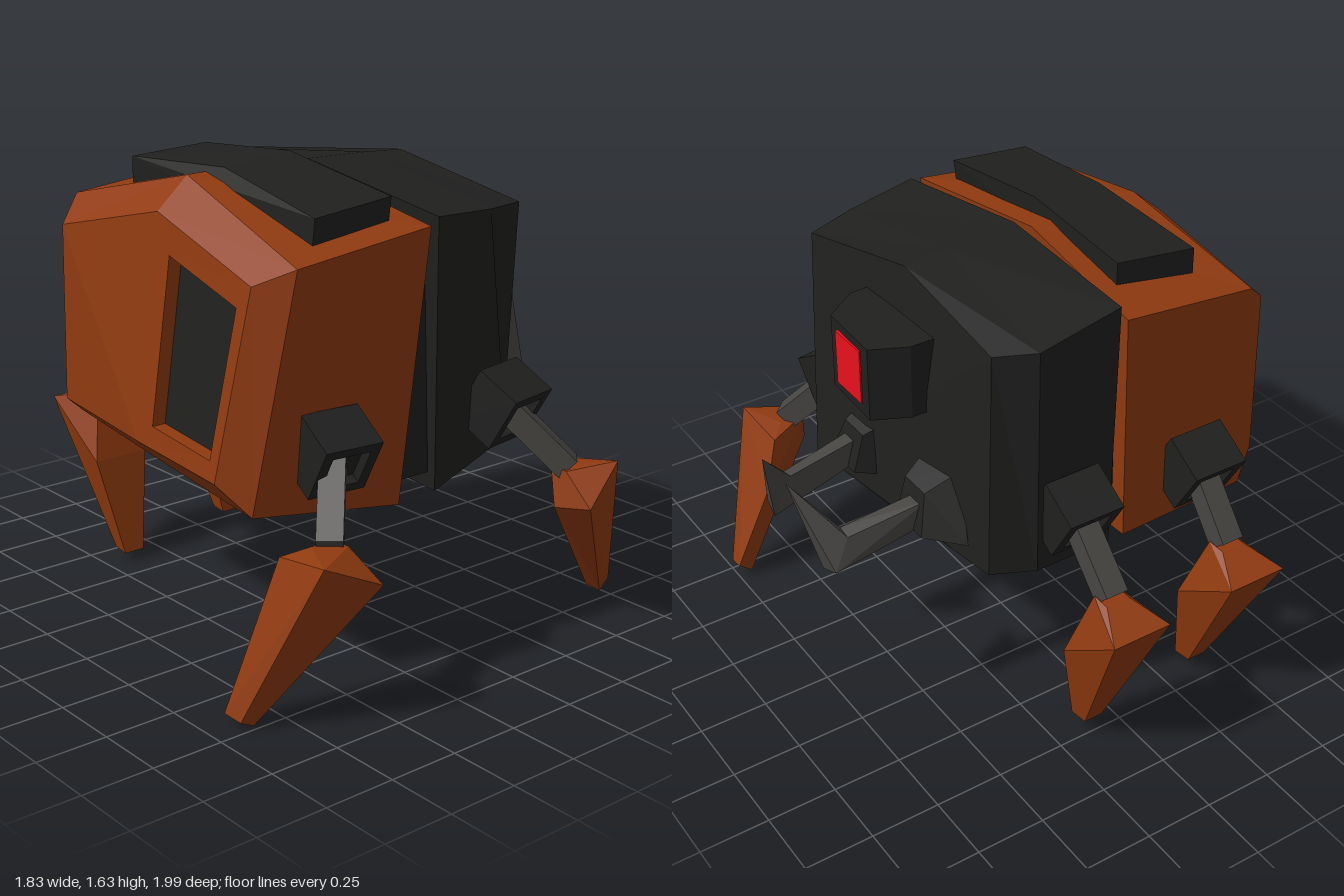
import * as THREE from 'three';
import { ConvexGeometry } from 'three/addons/geometries/ConvexGeometry.js';

const mat = (color) => new THREE.MeshStandardMaterial({ color, flatShading: true });
const V = (p) => new THREE.Vector3(...p);

export function createModel() {
  const model = new THREE.Group();
  const orange = mat(0x8f3a10), black = mat(0x20201f), grey = mat(0x484643), red = mat(0xe8101c);

  const add = (name, geometry, material, parent = model) => {
    const mesh = new THREE.Mesh(geometry, material);
    mesh.name = name;
    parent.add(mesh);
    return mesh;
  };
  const hull = (name, points, material, parent) =>
    add(name, new ConvexGeometry(points.map(V)), material, parent);

  // Skin between equal rings of corners; caps: fan-filled first and last rings
  const loft = (rings, capStart, capEnd) => {
    const pos = [], tri = (...t) => t.forEach((p) => pos.push(...p));
    for (let k = 0; k < rings.length - 1; k++) {
      const a = rings[k], b = rings[k + 1], n = a.length;
      for (let i = 0; i < n; i++) {
        const j = (i + 1) % n;
        tri(a[i], a[j], b[j], a[i], b[j], b[i]);
      }
    }
    const first = rings[0], last = rings[rings.length - 1];
    for (let i = 1; i < first.length - 1; i++) {
      if (capStart) tri(first[0], first[i + 1], first[i]);
      if (capEnd) tri(last[0], last[i], last[i + 1]);
    }
    const g = new THREE.BufferGeometry();
    g.setAttribute('position', new THREE.Float32BufferAttribute(pos, 3));
    g.computeVertexNormals();
    return g;
  };

  // Square bar between two points
  const bar = (name, from, to, w, material, parent) => {
    const a = V(from), b = V(to);
    const m = add(name, new THREE.BoxGeometry(w, w, a.distanceTo(b)), material, parent);
    m.position.copy(a).lerp(b, 0.5);
    m.lookAt(b);
    return m;
  };

  // Rear shell: corners run lower +z, lower middle, lower -z, upper -z, ridge, upper +z
  const rear = [[-0.82, 0.72, 0.49], [-0.77, 0.72, 0], [-0.73, 0.74, -0.5],
    [-0.72, 1.36, -0.5], [-0.67, 1.48, 0], [-0.73, 1.35, 0.57]];
  const middle = [[-0.75, 0.62, 0.59], [-0.69, 0.64, 0], [-0.63, 0.66, -0.56],
    [-0.62, 1.45, -0.56], [-0.55, 1.585, 0], [-0.64, 1.41, 0.68]];
  const front = [[-0.16, 0.53, 0.61], [-0.14, 0.59, 0], [-0.12, 0.65, -0.57],
    [-0.11, 1.5, -0.56], [-0.11, 1.59, -0.02], [-0.11, 1.47, 0.69]];
  add('rearShell', loft([rear, middle, front], false, true), orange);
  add('rearWall', loft([[rear[1], rear[2], rear[3], rear[4]]], true), orange);

  // Recessed window in the rear wall
  const outer = [rear[0], rear[1], rear[4], rear[5]];
  const mix = (u, v) => V(outer[1]).lerp(V(outer[0]), u)
    .lerp(V(outer[2]).lerp(V(outer[3]), u), v).toArray();
  const inner = [mix(0.9, 0.1), mix(0.17, 0.1), mix(0.17, 0.86), mix(0.9, 0.86)];
  const deep = inner.map(([x, y, z]) => [x + 0.05, y, z]);
  add('windowFrame', loft([deep, inner, outer]), orange);
  add('windowPanel', loft([deep], true), black);

  // Bent plate on the back
  hull('backPlate', [
    [-0.51, 1.44, 0.59], [-0.2, 1.48, 0.59], [-0.5, 1.53, 0.59], [-0.19, 1.56, 0.59],
    [-0.46, 1.61, 0.08], [-0.19, 1.635, 0.08],
    [-0.48, 1.58, -0.42], [-0.19, 1.6, -0.39], [-0.48, 1.47, -0.42], [-0.19, 1.5, -0.39],
  ], black);

  // Neck between shell and head
  hull('neck', [-0.16, 0.03].flatMap((x) => [
    [x, 0.6, 0.58], [x, 0.68, -0.5], [x, 1.44, -0.5], [x, 1.52, 0], [x, 1.42, 0.6]]), black);

  // Head
  add('head', loft([
    [[0, 0.54, 0.61], [-0.03, 0.6, 0], [-0.05, 0.66, -0.58],
      [-0.09, 1.55, -0.55], [-0.08, 1.59, 0.04], [-0.06, 1.49, 0.67]],
    [[0.38, 0.635, 0.56], [0.27, 0.64, 0], [0.24, 0.66, -0.58],
      [0.24, 1.51, -0.58], [0.2, 1.58, 0.03], [0.22, 1.47, 0.62]],
    [[0.52, 0.67, 0.41], [0.46, 0.66, 0], [0.4, 0.68, -0.53],
      [0.36, 1.49, -0.49], [0.36, 1.57, 0.02], [0.41, 1.46, 0.56]],
  ], true, true), black);

  // Eye in its housing
  hull('eyeHousing', [1.14, 1.41].flatMap((y) => [
    [0.36, y, 0.21], [0.46, y, 0.21], [0.585, y, 0.12],
    [0.595, y, -0.13], [0.47, y, -0.19], [0.36, y, -0.19]]), black);
  const eye = add('eye', new THREE.BoxGeometry(0.03, 0.2, 0.155), red);
  eye.position.set(0.583, 1.28, -0.005);

  // Pair of tusks, mirrored about the head's middle plane
  for (const [side, flip] of [['left', false], ['right', true]]) {
    const f = (pts) => pts.map(([x, y, z]) => [x, y, flip ? -0.08 - z : z]);
    const tusk = new THREE.Group();
    tusk.name = side + 'Tusk';
    model.add(tusk);
    hull('tuskMount', f([
      [0.38, 0.97, 0.25], [0.38, 0.97, 0.06], [0.42, 0.75, 0.36], [0.42, 0.75, 0.04],
      [0.5, 0.91, 0.22], [0.5, 0.91, 0.1], [0.54, 0.77, 0.26], [0.54, 0.77, 0.1]]), black, tusk);
    const elbow = [[0.77, 0.83, 0.13], [0.77, 0.82, 0.18], [0.84, 0.69, 0.13], [0.83, 0.71, 0.2]];
    hull('tuskArm', f([[0.48, 0.87, 0.15], [0.48, 0.87, 0.21], [0.48, 0.78, 0.15],
      [0.48, 0.78, 0.21], ...elbow]), grey, tusk);
    hull('tuskPoint', f([...elbow, [0.91, 1.01, 0.04]]), grey, tusk);
  }

  // Square socket ring for a leg
  const ring = new THREE.Shape([[-1, -1], [1, -1], [1, 1], [-1, 1]]
    .map(([x, y]) => new THREE.Vector2(x * 0.105, y * 0.105)));
  ring.holes.push(new THREE.Path([[-1, -1], [-1, 1], [1, 1], [1, -1]]
    .map(([x, y]) => new THREE.Vector2(x * 0.07, y * 0.07))));
  const socketGeometry = new THREE.ExtrudeGeometry(ring, { depth: 0.17, bevelEnabled: false });

  const leg = (name, hip, facing, knee, claw) => {
    const g = new THREE.Group();
    g.name = name;
    model.add(g);
    const socket = add('socket', socketGeometry, black, g);
    socket.lookAt(V(facing));
    socket.position.copy(V(hip)).addScaledVector(V(facing).normalize(), -0.085);
    const base = add('socketFloor', new THREE.BoxGeometry(0.15, 0.15, 0.1), black, g);
    base.position.copy(V(hip));
    base.quaternion.copy(socket.quaternion);
    bar('strut', hip, knee, 0.085, grey, g);
    const [x, y, z] = knee;
    const s = Math.sign(z) * 0.035;
    hull('claw', [[x - 0.045, y, z - s], [x + 0.045, y, z - s],
      [x - 0.045, y, z + s], [x + 0.045, y, z + s], ...claw], orange, g);
  };

  // Legs on the +z side splay outwards
  leg('rearLeftLeg', [-0.485, 0.8, 0.66], [-0.1, -0.5, 0.85], [-0.63, 0.57, 0.82], [
    [-0.76, 0.57, 0.95], [-0.56, 0.48, 0.99], [-0.545, 0.45, 0.82], [-0.74, 0.53, 0.71],
    [-0.92, 0.04, 0.66], [-0.91, 0.03, 0.73], [-0.86, 0.005, 0.73], [-0.86, 0.01, 0.66]]);
  leg('frontLeftLeg', [0.28, 0.8, 0.64], [0.15, -0.5, 0.85], [0.44, 0.58, 0.8], [
    [0.57, 0.6, 0.91], [0.385, 0.48, 0.96], [0.37, 0.45, 0.81], [0.55, 0.56, 0.7],
    [0.62, 0.38, 0.65], [0.755, 0.06, 0.73], [0.7, 0.03, 0.74],
    [0.755, 0.07, 0.67], [0.705, 0.03, 0.67]]);

  // Legs on the -z side point straight out
  for (const [name, c, dy, dz] of [['rearRightLeg', -0.395, 0, 0], ['frontRightLeg', 0.115, 0.02, -0.035]]) {
    leg(name, [c, 0.86 + dy, -0.61], [0, -0.5, -0.85], [c, 0.64 + dy, -0.79 + dz],
      [-1, 1].flatMap((s) => [
        [c + s * 0.112, 0.59 + dy, -0.96 + dz], [c + s * 0.108, 0.4, -0.68 + dz],
        [c + s * 0.04, 0.04 + dy, -0.61 + 2 * dz], [c + s * 0.035, 0.045 + dy, -0.68 + 2 * dz]]));
  }
  return model;
}
